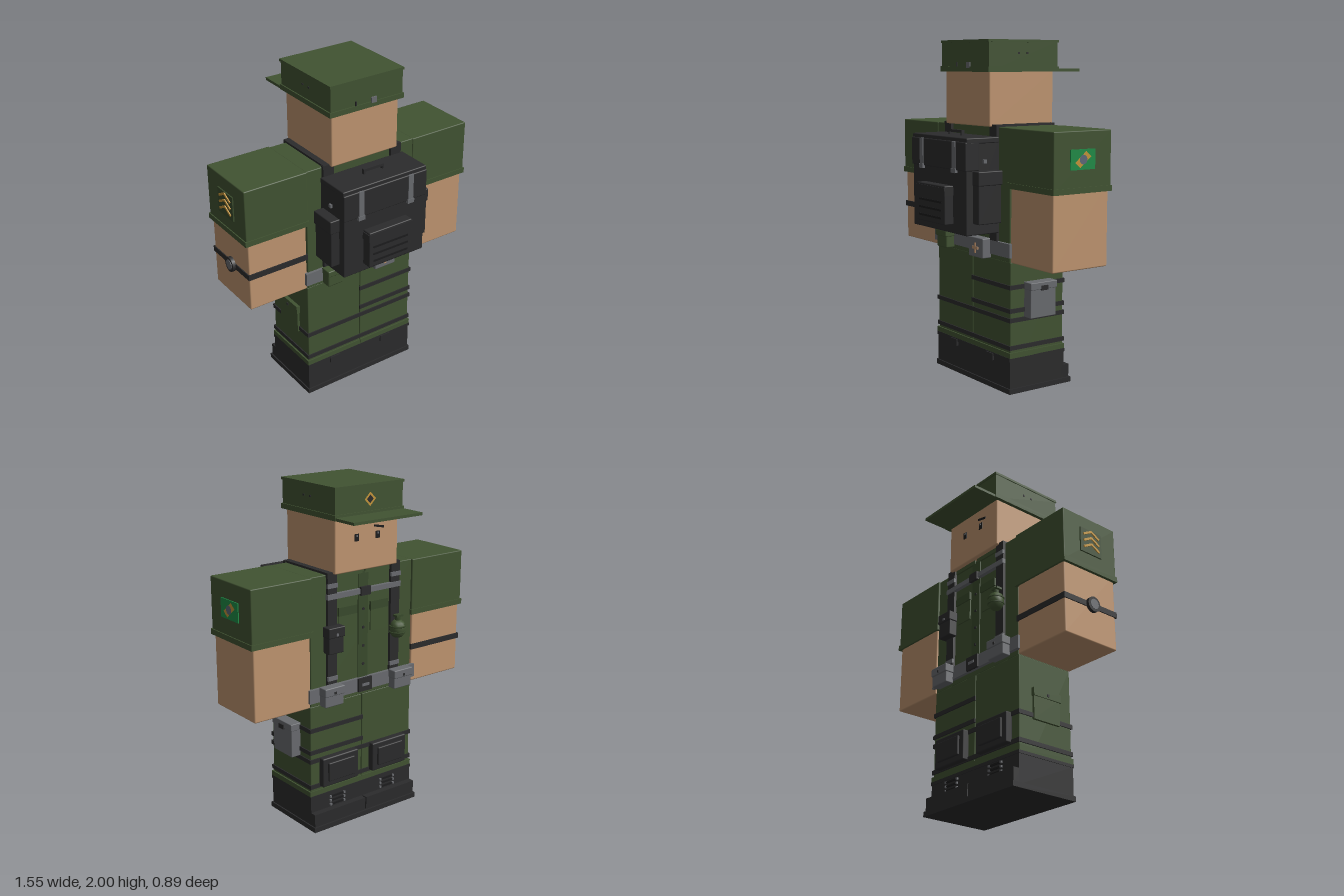
import * as THREE from 'three';
import { RoundedBoxGeometry } from 'three/addons/geometries/RoundedBoxGeometry.js';

const mat = (name, color) => Object.assign(new THREE.MeshStandardMaterial({ color }), { name });

export function createModel() {
  const green = mat('olive cloth', 0x415332);
  const dark = mat('dark olive trim', 0x394a2c);
  const skin = mat('skin', 0xbf9570);
  const black = mat('black gear', 0x2b2b2c);
  const ink = mat('deep black', 0x1c1c1d);
  const grey = mat('grey webbing', 0x696b6f);
  const gold = mat('gold', 0xc4953a);
  const flagGreen = mat('flag green', 0x1f8c47);
  const flagBlue = mat('flag blue grey', 0x5d6878);

  const root = new THREE.Group();
  root.name = 'soldier';
  let target = root;
  const group = (name, build) => {
    const g = new THREE.Group();
    g.name = name;
    root.add(g);
    target = g;
    build();
    target = root;
  };
  const add = (name, geometry, material, x = 0, y = 0, z = 0) => {
    const m = new THREE.Mesh(geometry, material);
    m.name = name;
    m.position.set(x, y, z);
    target.add(m);
    return m;
  };
  // Box given by its limits on each axis; r rounds the edges
  const box = (name, material, x0, x1, y0, y1, z0, z1, r = 0) => {
    const w = Math.abs(x1 - x0), h = y1 - y0, d = z1 - z0;
    const g = r ? new RoundedBoxGeometry(w, h, d, 2, r) : new THREE.BoxGeometry(w, h, d);
    return add(name, g, material, (x0 + x1) / 2, (y0 + y1) / 2, (z0 + z1) / 2);
  };
  const sides = [1, -1];

  group('head', () => {
    box('face', skin, -0.225, 0.225, 1.515, 1.83, -0.26, 0.19, 0.008);
    for (const s of sides) {
      box('eye', ink, s * 0.06, s * 0.09, 1.685, 1.725, -0.265, -0.258);
      box('eyeGlint', grey, s * 0.07, s * 0.08, 1.71, 1.72, -0.267, -0.264);
    }
    box('eyebrow', ink, -0.12, -0.05, 1.745, 1.757, -0.265, -0.258).rotation.z = 0.2;
  });

  group('cap', () => {
    box('capCrown', green, -0.24, 0.24, 1.82, 1.99, -0.28, 0.205);
    box('capTop', green, -0.245, 0.245, 1.985, 2, -0.287, 0.21);
    box('capBand', green, -0.247, 0.247, 1.82, 1.85, -0.287, 0.212);
    box('capBrim', green, -0.243, 0.243, 1.82, 1.836, -0.445, -0.27);
    box('capStrap', black, -0.08, -0.074, 1.845, 1.875, 0.2, 0.212);
    box('capBuckle', grey, 0.025, 0.06, 1.842, 1.875, 0.2, 0.214);
    for (const s of sides) for (const z of [-0.06, 0]) box('capVent', black, s * 0.236, s * 0.244, 1.92, 1.93, z - 0.006, z + 0.006);
    // Diamond badge
    const badge = add('capBadge', new THREE.RingGeometry(0.024, 0.04, 4), gold, 0, 1.915, -0.286);
    badge.rotation.y = Math.PI;
    add('badgeCentre', new THREE.CircleGeometry(0.024, 4), black, 0, 1.915, -0.285).rotation.y = Math.PI;
  });

  group('torso', () => {
    box('shirt', green, -0.37, 0.37, 0.76, 1.515, -0.225, 0.155, 0.005);
    box('placket', dark, -0.035, 0.035, 0.87, 1.5, -0.232, -0.22);
    for (let i = 0; i < 5; i++) {
      add('shirtButton', new THREE.CylinderGeometry(0.009, 0.009, 0.006, 8), black, 0, 0.95 + i * 0.11, -0.233).rotation.x = Math.PI / 2;
    }
    for (const s of sides) {
      box('breastPocket', green, s * 0.055, s * 0.175, 1.14, 1.28, -0.233, -0.22);
      box('pocketFlap', dark, s * 0.05, s * 0.18, 1.265, 1.315, -0.24, -0.22);
      box('collar', green, s * 0.01, s * 0.19, 1.49, 1.522, -0.235, -0.2);
    }
  });

  group('harness', () => {
    for (const s of sides) {
      box('frontStrap', black, s * 0.197, s * 0.262, 0.86, 1.525, -0.243, -0.222);
      box('shoulderStrap', black, s * 0.197, s * 0.262, 1.508, 1.527, -0.243, 0.172);
      box('backStrap', black, s * 0.197, s * 0.268, 0.87, 1.525, 0.15, 0.172);
      box('strapAdjuster', grey, s * 0.195, s * 0.265, 1.44, 1.465, -0.249, -0.235);
      box('strapAdjuster', grey, s * 0.195, s * 0.265, 0.9, 0.925, -0.249, -0.235);
    }
    box('chestStrap', grey, -0.265, 0.265, 1.375, 1.405, -0.25, -0.226);
    box('chestBuckle', black, -0.035, 0.035, 1.365, 1.415, -0.257, -0.24);
    box('radioPouch', black, 0.18, 0.285, 1.07, 1.2, -0.285, -0.23, 0.006);
    box('radioPouchFlap', black, 0.175, 0.29, 1.165, 1.225, -0.292, -0.23, 0.006);
    box('pouchStud', grey, 0.225, 0.24, 1.175, 1.19, -0.296, -0.29);
    // Grenade on the right strap
    const body = [[0, 0], [0.028, 0], [0.045, 0.02], [0.048, 0.055], [0.04, 0.085], [0.02, 0.1], [0, 0.1]];
    add('grenade', new THREE.LatheGeometry(body.map(p => new THREE.Vector2(...p)), 10), green, -0.23, 1.08, -0.268);
    for (const y of [1.11, 1.145]) {
      add('grenadeRib', new THREE.TorusGeometry(0.046, 0.005, 5, 12), dark, -0.23, y, -0.268).rotation.x = Math.PI / 2;
    }
    add('grenadeFuse', new THREE.CylinderGeometry(0.016, 0.016, 0.035, 8), dark, -0.23, 1.192, -0.268);
    box('grenadeLever', dark, -0.26, -0.21, 1.2, 1.212, -0.285, -0.25);
  });

  group('belt', () => {
    box('beltBand', grey, -0.39, 0.39, 0.79, 0.87, -0.245, 0.172);
    box('beltBuckle', black, -0.05, 0.05, 0.79, 0.87, -0.258, -0.24);
    box('buckleBar', grey, -0.025, 0.025, 0.822, 0.838, -0.263, -0.255);
    for (const s of sides) {
      box('ammoPouch', grey, s * 0.19, s * 0.32, 0.765, 0.86, -0.295, -0.24, 0.006);
      box('ammoPouchFlap', grey, s * 0.185, s * 0.325, 0.83, 0.88, -0.303, -0.24, 0.006);
      box('ammoPouchStud', black, s * 0.248, s * 0.262, 0.84, 0.854, -0.307, -0.3);
    }
    box('canteenPouch', green, -0.278, -0.172, 0.77, 0.87, 0.165, 0.228, 0.01);
    box('canteenFlap', green, -0.282, -0.168, 0.84, 0.878, 0.165, 0.236, 0.006);
    box('medicalPouch', grey, 0.06, 0.205, 0.765, 0.88, 0.165, 0.225, 0.006);
    box('crossBar', skin, 0.103, 0.162, 0.812, 0.828, 0.22, 0.23);
    box('crossPost', skin, 0.125, 0.14, 0.79, 0.85, 0.22, 0.23);
  });

  group('backpack', () => {
    box('packBody', black, -0.28, 0.28, 0.92, 1.45, 0.16, 0.385, 0.006);
    box('packLid', black, -0.285, 0.285, 1.43, 1.462, 0.165, 0.385, 0.006);
    box('packFlap', black, -0.285, 0.285, 1.28, 1.44, 0.3, 0.393, 0.006);
    box('packPocket', black, -0.148, 0.148, 0.97, 1.19, 0.38, 0.443, 0.006);
    box('pocketFlap', black, -0.153, 0.153, 1.135, 1.18, 0.38, 0.447);
    for (let i = 0; i < 3; i++) box('pocketWebbing', ink, -0.12, 0.12, 1.0 + i * 0.045, 1.012 + i * 0.045, 0.44, 0.446);
    for (const x of [-0.068, 0.058]) box('handlePost', black, x, x + 0.012, 1.455, 1.485, 0.255, 0.275);
    box('handleGrip', black, -0.068, 0.07, 1.477, 1.492, 0.255, 0.275);
    for (const s of sides) {
      box('sidePocket', black, s * 0.275, s * 0.335, 0.985, 1.27, 0.185, 0.34, 0.006);
      box('sidePocketFlap', black, s * 0.275, s * 0.342, 1.2, 1.28, 0.18, 0.345, 0.006);
      box('lidStrap', grey, s * 0.153, s * 0.187, 1.28, 1.44, 0.385, 0.398);
      box('lidStrapBuckle', grey, s * 0.148, s * 0.192, 1.265, 1.29, 0.385, 0.402);
      box('packStud', grey, s * 0.275, s * 0.291, 1.32, 1.34, 0.255, 0.275);
    }
  });

  for (const s of sides) group(s > 0 ? 'leftArm' : 'rightArm', () => {
    box('forearm', skin, s * 0.375, s * 0.752, 0.76, 1.22, -0.23, 0.152, 0.008);
    box('sleeve', green, s * 0.365, s * 0.764, 1.19, 1.515, -0.238, 0.16, 0.006);
    box('sleeveCuff', green, s * 0.36, s * 0.77, 1.18, 1.212, -0.243, 0.165);
  });

  group('flagPatch', () => {
    const face = (name, g, m, x) => { add(name, g, m, x, 1.362, -0.035).rotation.y = Math.PI / 2; };
    box('flagField', flagGreen, 0.76, 0.77, 1.307, 1.417, -0.12, 0.05);
    const d = new THREE.Shape([[-0.055, -0.015], [-0.02, -0.045], [0.055, 0.015], [0.02, 0.045]].map(p => new THREE.Vector2(...p)));
    face('flagDiamond', new THREE.ShapeGeometry(d), gold, 0.772);
    face('flagDisc', new THREE.CircleGeometry(0.026, 16), flagBlue, 0.774);
  });

  group('rankPatch', () => {
    box('patchField', dark, -0.772, -0.76, 1.285, 1.435, -0.115, 0.045);
    for (let i = 0; i < 3; i++) for (const s of sides) {
      const bar = box('chevronBar', gold, -0.778, -0.77, 1.325 + i * 0.04, 1.338 + i * 0.04, -0.035 - 0.034, -0.035 + 0.034);
      bar.position.z += s * 0.029;
      bar.rotation.x = s * 0.5;
    }
  });

  group('watch', () => {
    box('watchStrap', black, -0.758, -0.37, 0.96, 0.993, -0.237, 0.16);
    const disc = (name, r, x, m) => { add(name, new THREE.CylinderGeometry(r, r, 0.02, 16), m, x, 0.977, -0.03).rotation.z = Math.PI / 2; };
    disc('watchCase', 0.045, -0.765, black);
    disc('watchDial', 0.03, -0.768, grey);
  });

  for (const s of sides) group(s > 0 ? 'leftLeg' : 'rightLeg', () => {
    box('trouserLeg', green, s * 0.002, s * 0.375, 0.02, 0.762, -0.225, 0.153, 0.005);
    box('trouserCuff', green, s * 0.001, s * 0.384, 0.208, 0.24, -0.232, 0.161);
    const bands = s > 0 ? [0.255, 0.415, 0.47, 0.605] : [0.255, 0.415];
    for (const y of bands) box('legStrap', black, s * -0.004, s * 0.382, y, y + 0.025, -0.232, 0.16);
    // Knee pad
    box('kneePad', black, s * 0.055, s * 0.315, 0.262, 0.44, -0.265, -0.22, 0.008);
    box('kneePlate', black, s * 0.09, s * 0.28, 0.295, 0.41, -0.278, -0.26, 0.006);
    // Boot
    box('boot', black, 0, s * 0.38, 0.02, 0.195, -0.232, 0.158);
    box('bootTop', black, 0, s * 0.384, 0.19, 0.21, -0.235, 0.163);
    box('bootToe', black, s * 0.004, s * 0.38, 0.02, 0.108, -0.27, -0.22);
    box('bootSole', black, 0, s * 0.388, 0, 0.03, -0.28, 0.166);
    box('bootTab', black, s * 0.153, s * 0.225, 0.165, 0.205, 0.15, 0.17);
    for (let i = 0; i < 3; i++) {
      box('bootLace', ink, s * 0.14, s * 0.24, 0.12 + i * 0.025, 0.13 + i * 0.025, -0.24, -0.23);
      for (const x of [0.14, 0.24]) box('laceHook', grey, s * (x - 0.006), s * (x + 0.006), 0.119 + i * 0.025, 0.131 + i * 0.025, -0.243, -0.23);
    }
  });

  group('thighGear', () => {
    box('holster', grey, 0.37, 0.437, 0.437, 0.61, -0.125, 0.055, 0.004);
    box('holsterFlap', grey, 0.37, 0.443, 0.6, 0.642, -0.13, 0.058, 0.004);
    box('holsterClip', black, 0.435, 0.45, 0.595, 0.622, -0.06, -0.015);
    box('cargoPocket', green, -0.39, -0.37, 0.405, 0.56, -0.13, 0.06);
    box('cargoFlap', green, -0.397, -0.37, 0.54, 0.587, -0.135, 0.065);
    box('cargoStud', black, -0.402, -0.395, 0.55, 0.565, -0.042, -0.028);
  });

  return root;
}
